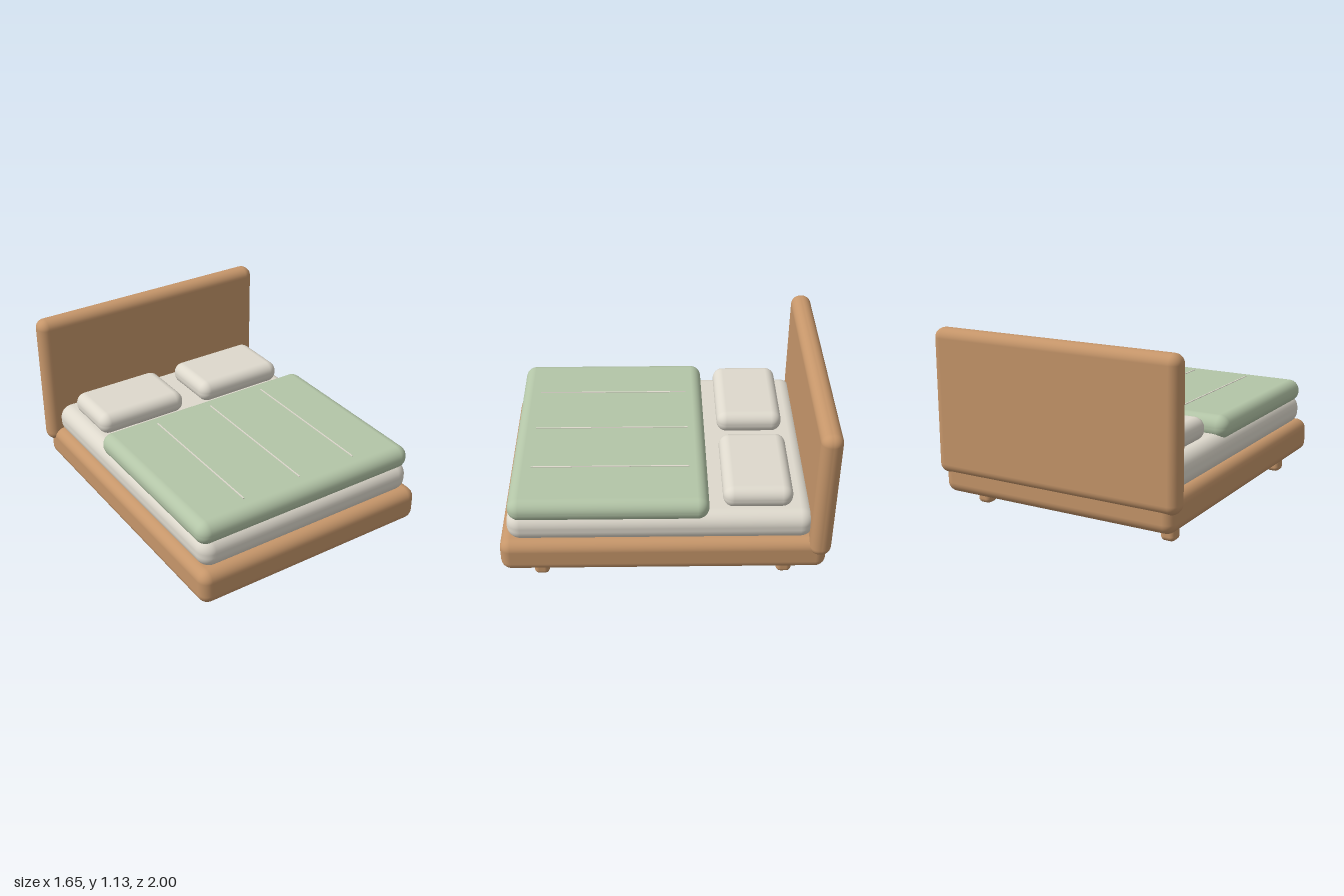
import * as THREE from 'three';
import { RoundedBoxGeometry } from 'three/addons/geometries/RoundedBoxGeometry.js';

const flat = (name, color) => {
  const m = new THREE.MeshStandardMaterial({ color });
  m.name = name;
  return m;
};

export function createModel() {
  const wood = flat('wood', 0xc6966a);
  const linen = flat('linen', 0xded9cd);
  const sage = flat('sage', 0xb3c5a7);

  const bed = new THREE.Group();
  bed.name = 'bed';

  // Rounded block given by its [min, max] extents on each axis
  const block = (name, material, [x0, x1], [y0, y1], [z0, z1], radius) => {
    const geometry = new RoundedBoxGeometry(x1 - x0, y1 - y0, z1 - z0, 5, radius);
    const mesh = new THREE.Mesh(geometry, material);
    mesh.name = name;
    mesh.position.set((x0 + x1) / 2, (y0 + y1) / 2, (z0 + z1) / 2);
    bed.add(mesh);
  };

  // Wooden base and headboard
  block('frame', wood, [-0.79, 0.79], [0.112, 0.332], [-0.98, 1], 0.065);
  block('headboard', wood, [-0.825, 0.825], [0.235, 1.13], [-1, -0.87], 0.06);

  // Bedding
  block('mattress', linen, [-0.755, 0.755], [0.315, 0.51], [-0.9, 0.953], 0.085);
  block('duvet', sage, [-0.76, 0.76], [0.47, 0.617], [-0.265, 0.938], 0.07);

  // Legs and pillows, mirrored left and right
  for (const side of [-1, 1]) {
    const span = (a, b) => (side > 0 ? [a, b] : [-b, -a]);
    const label = side > 0 ? 'left' : 'right';
    block(label + 'Pillow', linen, span(0.07, 0.685), [0.502, 0.643], [-0.768, -0.348], 0.065);
    block(label + 'FrontLeg', wood, span(0.603, 0.697), [0, 0.16], [0.716, 0.81], 0.03);
    block(label + 'BackLeg', wood, span(0.603, 0.697), [0, 0.16], [-0.785, -0.691], 0.03);
  }

  // Quilting seams along the duvet
  for (const x of [-0.397, 0, 0.397]) {
    const seam = new THREE.Mesh(new THREE.BoxGeometry(0.008, 0.008, 0.97), linen);
    seam.name = 'duvetSeam';
    seam.position.set(x, 0.617, 0.33);
    bed.add(seam);
  }

  return bed;
}
